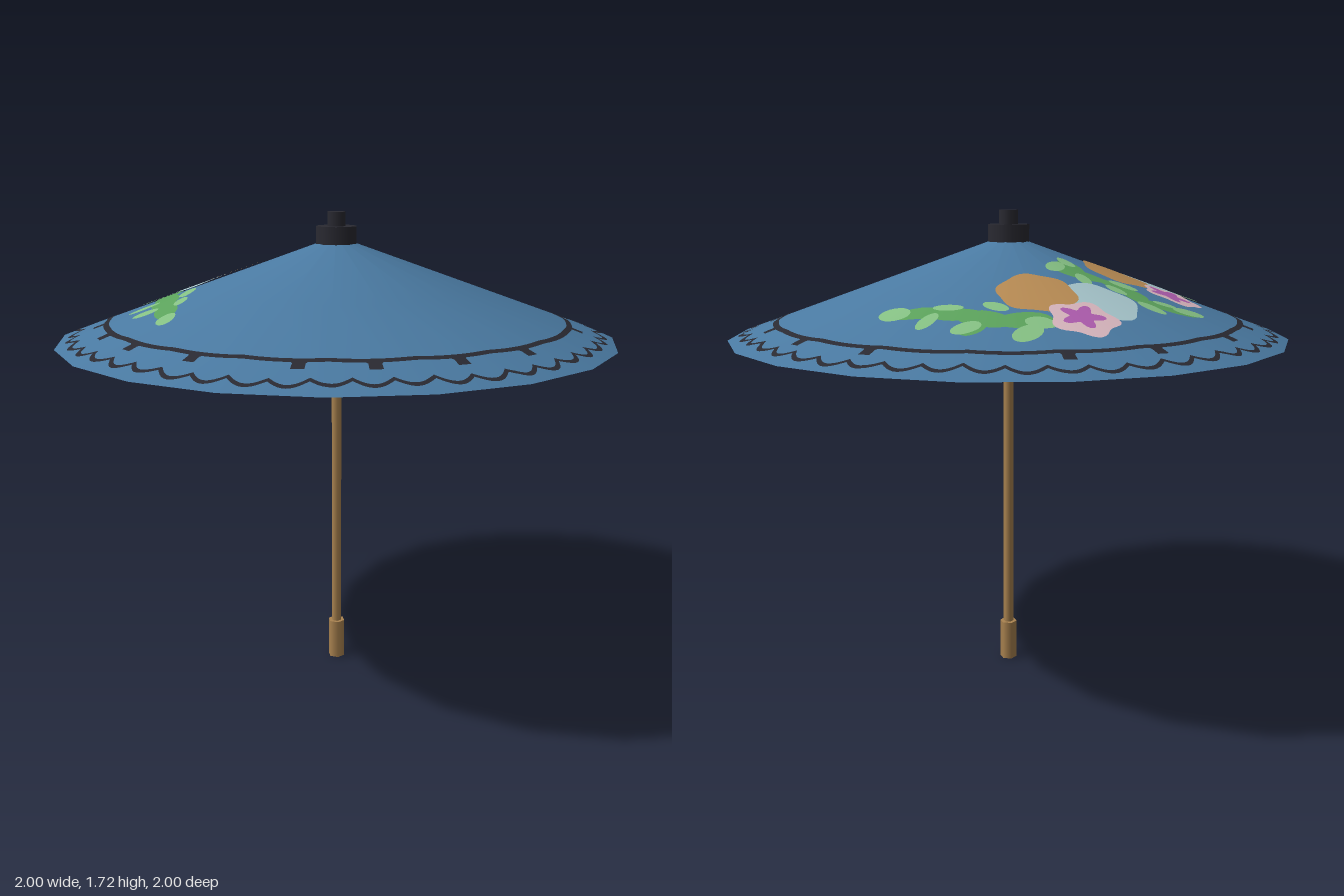
import * as THREE from 'three';

const mat = (name, color, side = THREE.FrontSide) =>
  Object.assign(new THREE.MeshStandardMaterial({ color, side }), { name });

const SIDES = 20, APEX = 1.635, SLOPE = 0.36;
const STEP = (Math.PI * 2) / SIDES;
const rad = THREE.MathUtils.degToRad;

// Height of the twenty-sided canopy above a point of the ground plane
function canopyHeight(x, z) {
  const a = Math.atan2(z, x);
  const mid = (Math.floor(a / STEP) + 0.5) * STEP;
  return APEX - SLOPE * Math.hypot(x, z) * Math.cos(a - mid) / Math.cos(STEP / 2);
}

// Split a triangle until its edges are short enough to follow the canopy
function split(a, b, c, out) {
  const ab = a.distanceTo(b), bc = b.distanceTo(c), ca = c.distanceTo(a);
  const m = Math.max(ab, bc, ca);
  if (m < 0.04) { out.push(a, b, c); return; }
  if (bc === m) [a, b, c] = [b, c, a];
  else if (ca === m) [a, b, c] = [c, a, b];
  const p = a.clone().lerp(b, 0.5);
  split(a, p, c, out);
  split(p, b, c, out);
}

// Closed outlines (x, -z) to a flat triangle list
function fill(outlines) {
  const out = [];
  for (const pts of outlines) {
    for (const [i, j, k] of THREE.ShapeUtils.triangulateShape(pts, [])) split(pts[i], pts[j], pts[k], out);
  }
  return out;
}

// Lay a triangle list on the canopy; the underside carries the pattern mirrored in z
function drape(tris, layer, under) {
  const pos = [], nor = [], n = new THREE.Vector3();
  const s = under ? -1 : 1;
  for (const p of tris) {
    const x = p.x, z = -s * p.y, r = Math.hypot(x, z) || 1;
    pos.push(x, canopyHeight(x, z) + s * (0.003 + 0.0012 * layer), z);
    n.set(SLOPE * x / r, 1, SLOPE * z / r).normalize().multiplyScalar(s);
    nor.push(n.x, n.y, n.z);
  }
  const g = new THREE.BufferGeometry();
  g.setAttribute('position', new THREE.Float32BufferAttribute(pos, 3));
  g.setAttribute('normal', new THREE.Float32BufferAttribute(nor, 3));
  return g;
}

// Rounded, lobed petal outline
function blob(x, z, r, lobes, amp, phase = 0) {
  return Array.from({ length: 50 }, (_, i) => {
    const t = (i / 50) * Math.PI * 2;
    const q = r * (1 - amp + amp * Math.cos(lobes * t + phase));
    return new THREE.Vector2(x + q * Math.cos(t), -z + q * Math.sin(t));
  });
}

// Elliptical leaf; the angle turns from +x towards +z
function leaf([x, z, a, b, deg = 0]) {
  const c = Math.cos(rad(deg)), s = Math.sin(rad(deg));
  return Array.from({ length: 20 }, (_, i) => {
    const t = (i / 20) * Math.PI * 2, u = a * Math.cos(t), v = -b * Math.sin(t);
    return new THREE.Vector2(x + u * c - v * s, -(z + u * s + v * c));
  });
}

// Painted line round the canopy, its radius given by a function of angle
function ringLine(radius, width, count, dz = 0) {
  const out = [];
  const at = (i, d) => {
    const t = (i / count) * Math.PI * 2, r = radius(t) + d;
    return new THREE.Vector2(r * Math.cos(t), r * Math.sin(t) - dz);
  };
  for (let i = 0; i < count; i++) {
    const a = at(i, -width / 2), b = at(i, width / 2), c = at(i + 1, width / 2), d = at(i + 1, -width / 2);
    out.push(a, b, c, a, c, d);
  }
  return out;
}

export function createModel() {
  const model = new THREE.Group();
  const cloth = mat('blue cloth', 0x4a7aa2, THREE.DoubleSide);
  const black = mat('black', 0x2a2a32);
  const wood = mat('wood', 0xaa8350);
  const orange = mat('orange', 0xb98c54);
  const pink = mat('pink', 0xd8b6be);
  const magenta = mat('magenta', 0xae5cae);
  const pale = mat('pale blue', 0xa6c5cb);
  const lightGreen = mat('light green', 0x86c184);
  const darkGreen = mat('dark green', 0x5ca35c);

  const add = (name, geo, material, parent = model) => {
    const m = new THREE.Mesh(geo, material);
    m.name = name;
    parent.add(m);
    return m;
  };
  const post = (name, r, y0, y1, sides, material) => {
    const g = new THREE.CylinderGeometry(r, r, y1 - y0, sides, 1, false, Math.PI / 2);
    add(name, g.translate(0, (y0 + y1) / 2, 0), material);
  };
  const lathe = (pts) => new THREE.LatheGeometry(pts.map(([r, y]) => new THREE.Vector2(r, y)), SIDES);

  // Pole, handle and finial
  post('pole', 0.019, 0.1, 1.62, 6, wood);
  post('handle', 0.032, 0, 0.15, 6, wood);
  post('finialBase', 0.075, 1.605, 1.67, 10, black);
  post('finialTip', 0.034, 1.67, 1.72, 10, black);

  // Canopy and the inner stretcher cone
  add('canopy', lathe([[1, APEX - SLOPE], [0.5, APEX - SLOPE / 2], [0.01, APEX - 0.0036]]), cloth);
  add('stretcherCone', lathe([[0.01, 1.325], [0.435, 1.476]]), cloth);

  // Seven ribs under the stretcher cone
  for (let i = 0; i < 7; i++) {
    const arm = new THREE.Group();
    arm.name = 'rib' + (i + 1);
    arm.rotation.y = rad(48) + (i * Math.PI * 2) / 7;
    const bar = add('ribBar', new THREE.BoxGeometry(0.445, 0.008, 0.034), wood, arm);
    bar.position.set(0.222, 1.396, 0);
    bar.rotation.z = Math.atan2(0.151, 0.425);
    model.add(arm);
  }

  // Border: plain ring with outward teeth, and a scalloped line near the rim
  const teeth = [-69, -48, -27, -6, 27, 45, 63, 78, 101, 120, 136, 152, 186, 205, 230, 250].map((deg) => {
    const t = rad(-deg);
    return [[0.822, -0.045], [0.842, -0.024], [0.872, -0.024], [0.872, 0.024], [0.842, 0.024], [0.822, 0.045]]
      .map(([r, d]) => new THREE.Vector2(r * Math.cos(t + d), r * Math.sin(t + d) + 0.012));
  });
  const border = [
    ...ringLine(() => 0.826, 0.02, 240, -0.012),
    ...ringLine((t) => 0.915 + 0.034 * Math.abs(Math.sin(24 * t)) + 0.005 * Math.sin(7 * t), 0.018, 480),
    ...fill(teeth),
  ];

  // Leaf sprays: x, z, half length, half width, angle
  const darkLeaves = [
    [-0.14, -0.63, 0.09, 0.05, -15], [-0.02, -0.64, 0.09, 0.05, 10], [0.08, -0.61, 0.1, 0.04, 8],
    [0.2, -0.59, 0.09, 0.04, 5], [0.01, -0.69, 0.06, 0.04, -70],
    [-0.56, -0.28, 0.11, 0.035, -10], [-0.42, -0.23, 0.09, 0.04, 15], [-0.28, -0.22, 0.09, 0.04, -5],
    [-0.24, -0.17, 0.06, 0.04, 50], [-0.47, -0.29, 0.06, 0.03, 30],
    [-0.57, 0.2, 0.1, 0.045, 80], [-0.52, 0.32, 0.11, 0.05, 65], [-0.45, 0.45, 0.1, 0.04, 60],
  ];
  const lightLeaves = [
    [-0.16, -0.71, 0.06, 0.04, -60], [-0.19, -0.64, 0.05, 0.035, 10], [0.03, -0.7, 0.05, 0.035, -35],
    [0.16, -0.65, 0.055, 0.026, -70], [0.28, -0.575, 0.055, 0.045, 30], [-0.04, -0.56, 0.045, 0.025, 20],
    [0.11, -0.565, 0.05, 0.02, 5],
    [-0.64, -0.25, 0.055, 0.03, -20], [-0.52, -0.34, 0.05, 0.03, 20], [-0.4, -0.27, 0.04, 0.025, 30],
    [-0.19, -0.21, 0.05, 0.03, -75], [-0.29, -0.26, 0.045, 0.024, 60], [-0.22, -0.14, 0.04, 0.026, 45],
    [-0.42, -0.19, 0.05, 0.025, 0], [-0.56, -0.25, 0.04, 0.018, -15],
    [-0.64, 0.18, 0.05, 0.03, -40], [-0.6, 0.33, 0.055, 0.03, -30], [-0.46, 0.27, 0.065, 0.028, 75],
    [-0.54, 0.43, 0.045, 0.028, -25], [-0.4, 0.545, 0.05, 0.032, 75], [-0.43, 0.38, 0.04, 0.022, 80],
  ];

  // Painted layers from lowest to highest, on both faces of the cloth
  const paint = [
    ['border', border, black],
    ['darkLeaves', fill(darkLeaves.map(leaf)), darkGreen],
    ['lightLeaves', fill(lightLeaves.map(leaf)), lightGreen],
    ['paleFlowers', fill([blob(-0.35, -0.42, 0.138, 5, 0.05), blob(-0.51, 0.075, 0.118, 5, 0.05, 1)]), pale],
    ['orangeFlowers', fill([blob(-0.155, -0.445, 0.134, 6, 0.04), blob(-0.39, -0.045, 0.124, 6, 0.04, 2)]), orange],
    ['pinkFlowers', fill([blob(-0.315, -0.575, 0.118, 5, 0.1, 2), blob(-0.585, -0.095, 0.106, 5, 0.1, 2.6)]), pink],
    ['flowerHearts', fill([blob(-0.31, -0.565, 0.076, 5, 0.24, 2), blob(-0.575, -0.09, 0.078, 5, 0.24, 2.6)]), magenta],
  ];
  paint.forEach(([name, tris, material], layer) => {
    add(name + 'Top', drape(tris, layer, false), material);
    add(name + 'Underside', drape(tris, layer, true), material);
  });

  return model;
}
